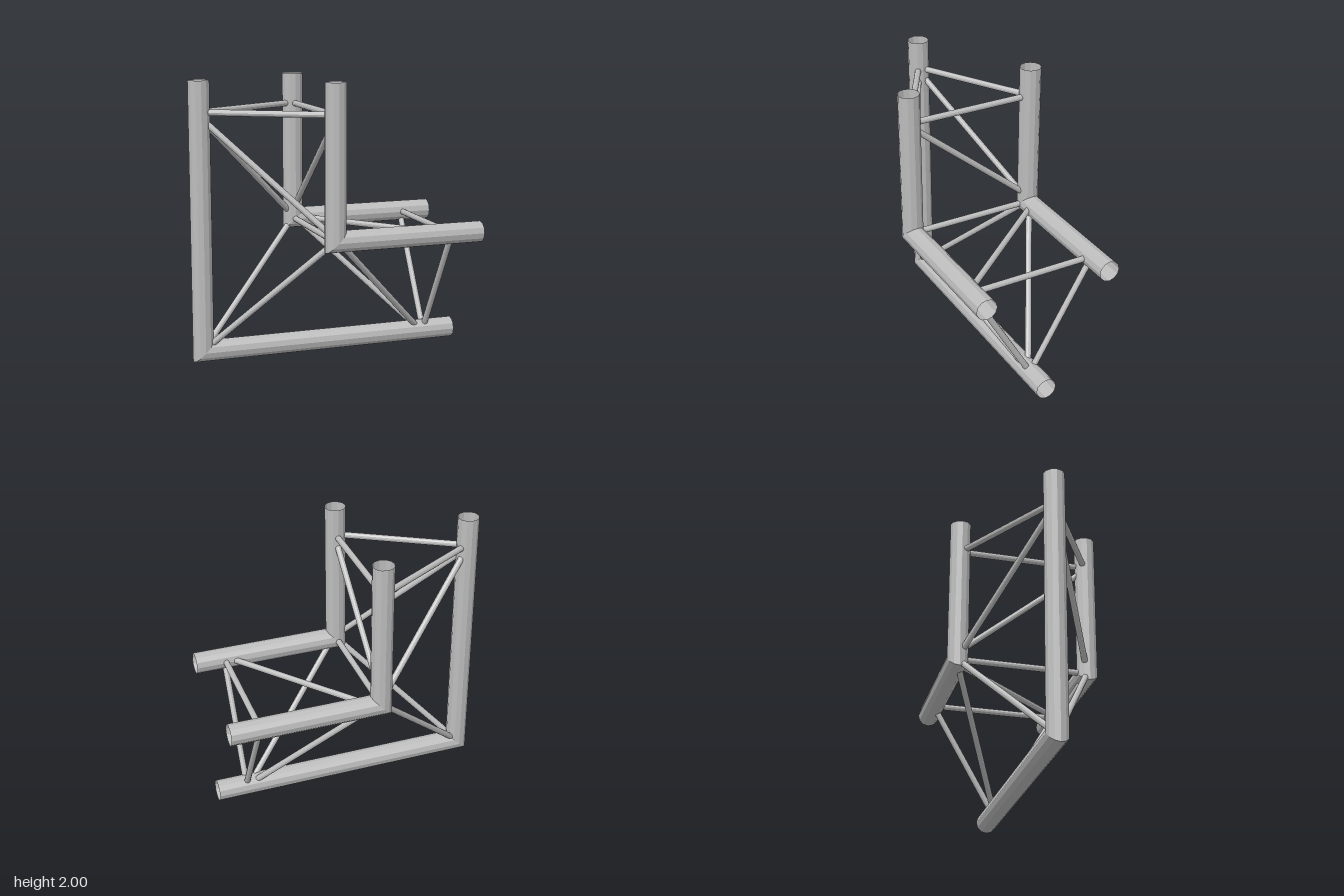
import * as THREE from 'three';

const CHORD_R = 0.077, BRACE_R = 0.0225;

export function createModel() {
  const model = new THREE.Group();
  model.name = 'trussCorner';
  const metal = new THREE.MeshStandardMaterial({
    name: 'aluminium', color: 0xbcbcbc, flatShading: true, side: THREE.DoubleSide,
  });

  function add(name, geometry) {
    const mesh = new THREE.Mesh(geometry, metal);
    mesh.name = name;
    model.add(mesh);
    return mesh;
  }

  // Open main tube from a corner, its base cut at 45 degrees for the mitre
  function chord(name, [x, y, z], length, horizontal) {
    const geo = new THREE.CylinderGeometry(CHORD_R, CHORD_R, length, 12, 1, true);
    geo.translate(0, length / 2, 0);
    const p = geo.attributes.position;
    for (let i = 0; i < p.count; i++) {
      if (p.getY(i) < length / 2) p.setY(i, horizontal ? -p.getX(i) : p.getX(i));
    }
    if (horizontal) geo.rotateZ(-Math.PI / 2);
    geo.translate(x, y, z);
    geo.computeVertexNormals();
    add(name, geo);
  }

  // Thin tube running between two tube centre lines
  function brace(name, a, b) {
    const from = new THREE.Vector3(...a), to = new THREE.Vector3(...b);
    const dir = to.clone().sub(from);
    const geo = new THREE.CylinderGeometry(BRACE_R, BRACE_R, dir.length(), 12, 1, true);
    const mesh = add(name, geo);
    mesh.position.copy(from).add(to).multiplyScalar(0.5);
    mesh.quaternion.setFromUnitVectors(new THREE.Vector3(0, 1, 0), dir.normalize());
  }

  // The three mitred corners: one outer, two inner
  const outer = [-0.923, 0.077, 0];
  const front = [-0.0975, 0.9075, 0.477];
  const back = [-0.0975, 0.9075, -0.477];
  for (const [name, c] of [['outer', outer], ['front', front], ['back', back]]) {
    chord(name + 'UprightChord', c, 2 - c[1], false);
    chord(name + 'LevelChord', c, 1 - c[0], true);
  }

  // Triangle of braces joining the corners
  brace('cornerBraceFront', outer, front);
  brace('cornerBraceBack', outer, back);
  brace('cornerBraceCross', front, back);

  // Each arm: an end triangle and three diagonals
  const arms = [
    ['upright', (c, t) => [c[0], t, c[2]]],
    ['level', (c, t) => [t - 1, c[1], c[2]]],
  ];
  for (const [arm, at] of arms) {
    brace(arm + 'EndBraceFront', at(outer, 1.778), at(front, 1.778));
    brace(arm + 'EndBraceBack', at(outer, 1.778), at(back, 1.778));
    brace(arm + 'EndBraceCross', at(front, 1.778), at(back, 1.778));
    brace(arm + 'DiagonalFront', at(outer, 1.75), at(front, 0.925));
    brace(arm + 'DiagonalBack', at(outer, 1.75), at(back, 0.925));
    brace(arm + 'DiagonalCross', at(front, 1.755), at(back, 0.965));
  }
  return model;
}
